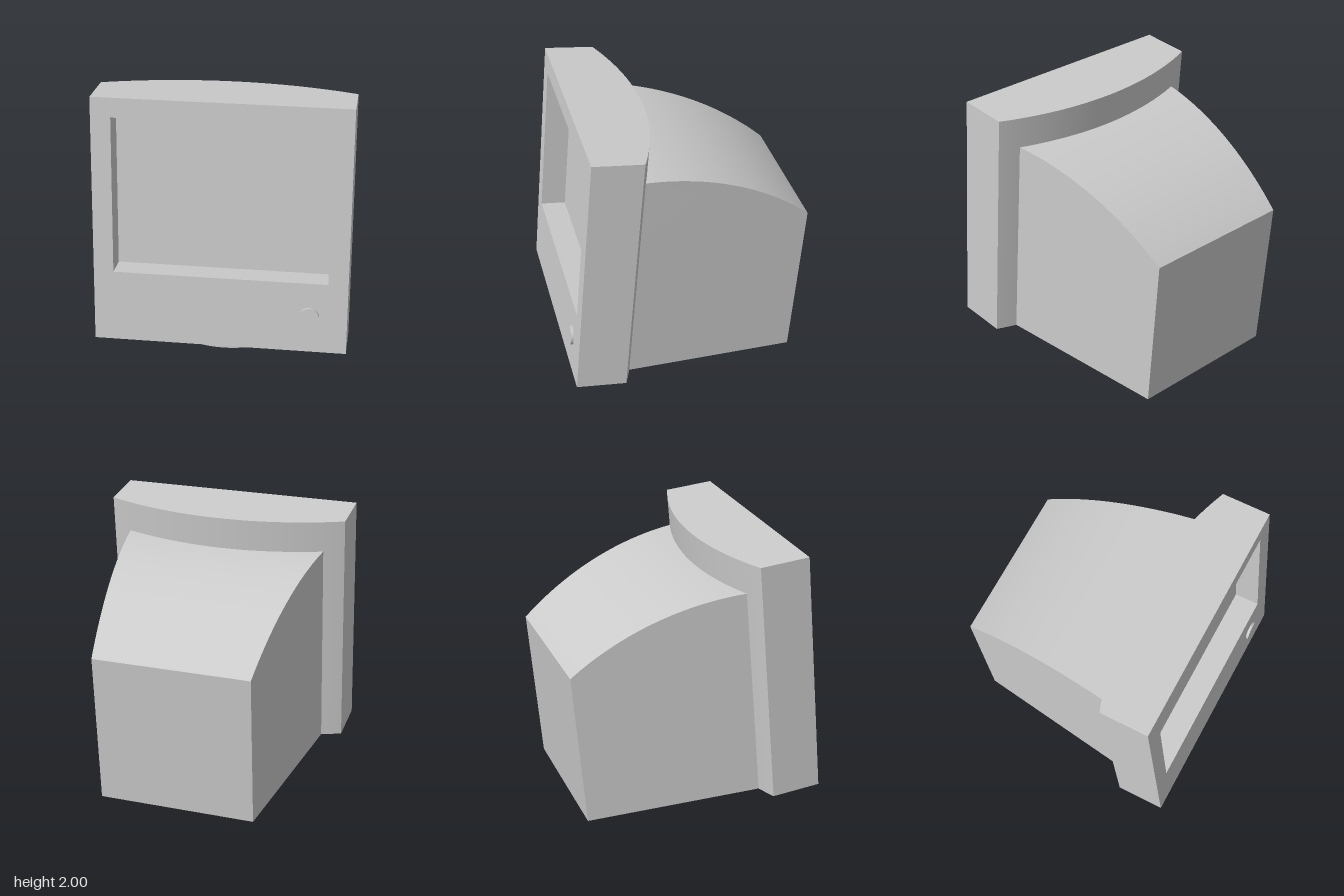
import * as THREE from 'three';
import { toCreasedNormals } from 'three/addons/utils/BufferGeometryUtils.js';

const material = new THREE.MeshStandardMaterial({ color: 0xcccccc });
const TILT = THREE.MathUtils.degToRad(5);
const HALF_W = 0.925, HEIGHT = 1.852, RECESS = 0.19;

function part(name, geometry) {
  const mesh = new THREE.Mesh(geometry, material);
  mesh.name = name;
  return mesh;
}

function extrude(shape, depth, curveSegments = 48) {
  return new THREE.ExtrudeGeometry(shape, { depth, bevelEnabled: false, curveSegments });
}

function rectangle(Type, x0, y0, x1, y1) {
  return new Type([[x0, y0], [x1, y0], [x1, y1], [x0, y1]].map(p => new THREE.Vector2(...p)));
}

// Front frame with the screen opening
function frontFrame() {
  const shape = rectangle(THREE.Shape, -HALF_W, 0, HALF_W, HEIGHT);
  shape.holes.push(rectangle(THREE.Path, -0.78, 0.537, 0.78, 1.708));
  return extrude(shape, RECESS).translate(0, 0, -RECESS);
}

// Slab behind the frame: its front is the screen, its back bulges in an arc
function screenShell() {
  const side = 0.37, middle = 0.55, sag = middle - side;
  const radius = (HALF_W ** 2 + sag ** 2) / (2 * sag);
  const half = Math.asin(HALF_W / radius);
  const shape = new THREE.Shape();
  shape.moveTo(-HALF_W, RECESS);
  shape.lineTo(HALF_W, RECESS);
  shape.lineTo(HALF_W, side);
  shape.absarc(0, middle - radius, radius, Math.PI / 2 - half, Math.PI / 2 + half, false);
  shape.closePath();
  return toCreasedNormals(extrude(shape, HEIGHT).rotateX(-Math.PI / 2), 0.3);
}

// Rear housing: side profile with a curved top, narrowing towards the back
function rearHousing() {
  const front = 0.42, back = 1.726, top = 1.613, backTop = 1.185;
  const run = back - front, drop = top - backTop;
  const radius = (run ** 2 + drop ** 2) / (2 * drop);
  const shape = new THREE.Shape();
  shape.moveTo(front, 0);
  shape.lineTo(back, 0);
  shape.lineTo(back, backTop);
  shape.absarc(front, top - radius, radius, Math.PI / 2 - Math.asin(run / radius), Math.PI / 2, false);
  shape.closePath();
  const geometry = extrude(shape, 2).translate(0, 0, -1).rotateY(Math.PI / 2);
  const pos = geometry.attributes.position;
  for (let i = 0; i < pos.count; i++) {
    const t = (-pos.getZ(i) - front) / run;
    pos.setX(i, pos.getX(i) * THREE.MathUtils.lerp(0.775, 0.596, t));
  }
  return toCreasedNormals(geometry, 0.3);
}

export function createModel() {
  const model = new THREE.Group();
  model.name = 'monitor';

  // Tilted head, hinged on its lower front edge
  const head = new THREE.Group();
  head.name = 'head';
  head.position.set(0, 0.155, 0.913);
  head.rotation.x = -TILT;
  head.add(part('frontFrame', frontFrame()));
  head.add(part('screenShell', screenShell()));
  head.add(part('rearHousing', rearHousing()));

  // Power button
  const button = part('powerButton', new THREE.CylinderGeometry(0.073, 0.073, 0.04, 32));
  button.rotation.x = Math.PI / 2;
  button.position.set(0.65, 0.276, 0);
  head.add(button);
  model.add(head);

  // Round foot, sunk into the underside
  const foot = part('foot', new THREE.CylinderGeometry(0.555, 0.555, 0.2, 64));
  foot.position.set(0, 0.1, 0.135);
  model.add(foot);

  return model;
}
